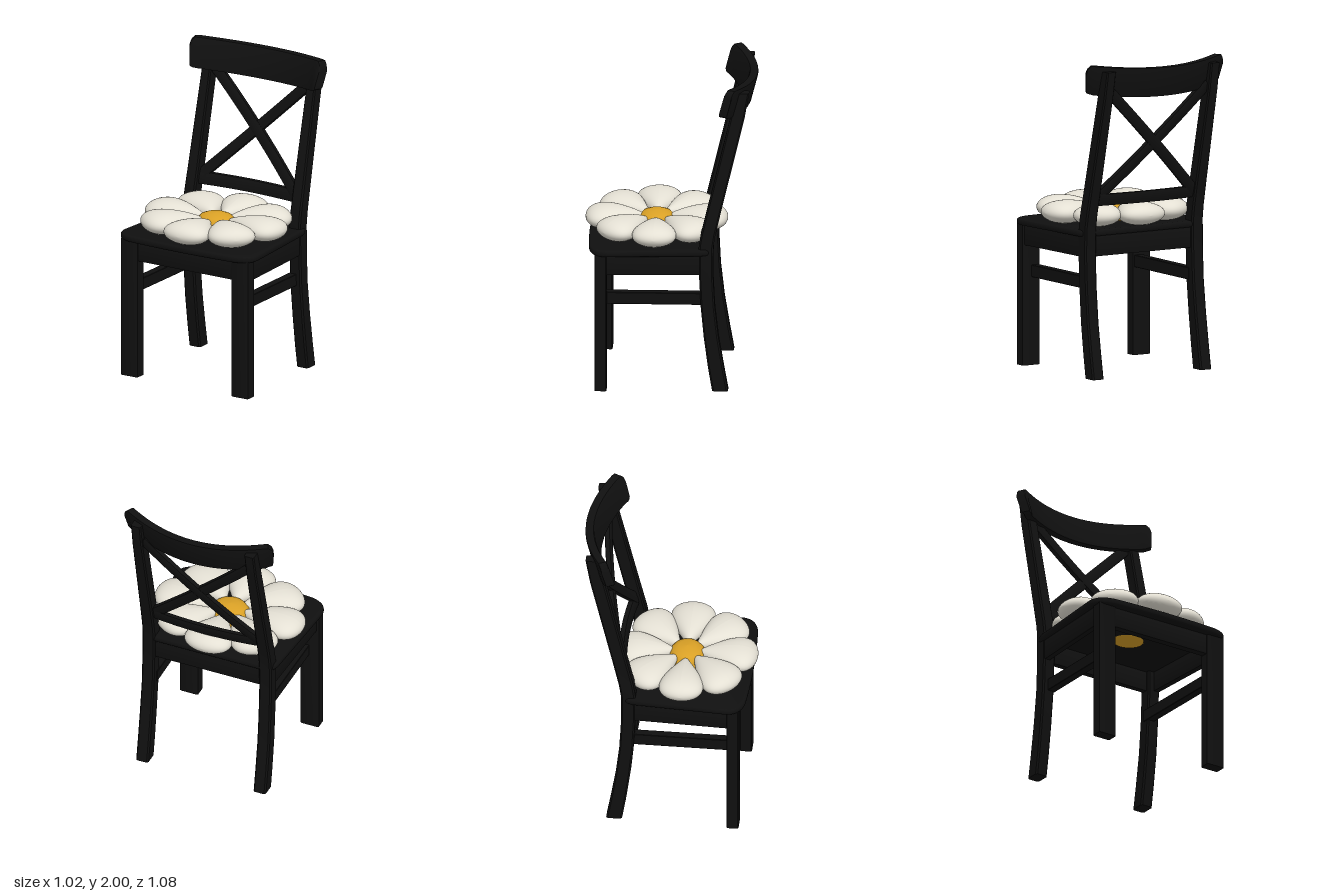
import * as THREE from 'three';
import { toCreasedNormals } from 'three/addons/utils/BufferGeometryUtils.js';

const V = (x, y, z) => new THREE.Vector3(x, y, z);

// Lofts a chamfered rectangle through sections [centre, half-axis u, half-axis v]
function loft(sections, k = 0.78) {
  const corners = [[1, -k], [1, k], [k, 1], [-k, 1], [-1, k], [-1, -k], [-k, -1], [k, -1]];
  const pos = [], idx = [], n = 8, last = sections.length - 1;
  for (const [c, u, v] of sections) {
    for (const [a, b] of corners) {
      const p = c.clone().addScaledVector(u, a).addScaledVector(v, b);
      pos.push(p.x, p.y, p.z);
    }
  }
  const along = sections[last][0].clone().sub(sections[0][0]);
  const flip = sections[0][1].clone().cross(sections[0][2]).dot(along) < 0;
  const tri = (a, b, c) => (flip ? idx.push(a, c, b) : idx.push(a, b, c));
  for (let i = 0; i < last; i++) {
    for (let j = 0; j < n; j++) {
      const a = i * n + j, b = i * n + ((j + 1) % n);
      tri(a, b, b + n);
      tri(a, b + n, a + n);
    }
  }
  for (let j = 1; j < n - 1; j++) {
    tri(0, j + 1, j);
    tri(last * n, last * n + j, last * n + j + 1);
  }
  const g = new THREE.BufferGeometry();
  g.setAttribute('position', new THREE.Float32BufferAttribute(pos, 3));
  g.setIndex(idx);
  return toCreasedNormals(g, 0.55);
}

// Straight horizontal bar between two points, w thick and h tall
function bar(a, b, w, h) {
  const side = b.clone().sub(a).cross(V(0, 1, 0)).setLength(w / 2);
  return loft([[a, V(0, h / 2, 0), side], [b, V(0, h / 2, 0), side]], 0.92);
}

export function createModel() {
  const wood = new THREE.MeshStandardMaterial({ color: 0x101010 });
  wood.name = 'blackWood';
  const white = new THREE.MeshStandardMaterial({ color: 0xe4e0d4 });
  white.name = 'petalWhite';
  const yellow = new THREE.MeshStandardMaterial({ color: 0xdaa126 });
  yellow.name = 'centreYellow';

  const chair = new THREE.Group();
  chair.name = 'chair';
  const add = (name, geo, mat = wood) => {
    const m = new THREE.Mesh(geo, mat);
    m.name = name;
    chair.add(m);
    return m;
  };

  // Seat board: tapered to the back, round front corners, bullnose edge
  const s = new THREE.Shape();
  s.moveTo(-0.40, 0.255);
  s.lineTo(0.40, 0.255);
  s.quadraticCurveTo(0.43, 0.25, 0.442, 0.2);
  s.lineTo(0.485, -0.38);
  s.quadraticCurveTo(0.488, -0.47, 0.37, -0.485);
  s.quadraticCurveTo(0, -0.51, -0.37, -0.485);
  s.quadraticCurveTo(-0.488, -0.47, -0.485, -0.38);
  s.lineTo(-0.442, 0.2);
  s.quadraticCurveTo(-0.43, 0.25, -0.40, 0.255);
  const seat = new THREE.ExtrudeGeometry(s, {
    depth: 0.012, bevelThickness: 0.015, bevelSize: 0.018, bevelSegments: 4, curveSegments: 12,
  });
  seat.rotateX(-Math.PI / 2).translate(0, 0.908, 0);
  add('seat', toCreasedNormals(seat, 0.6));

  // Aprons under the seat
  add('frontApron', bar(V(-0.44, 0.832, 0.43), V(0.44, 0.832, 0.43), 0.05, 0.135));
  add('backApron', bar(V(-0.4, 0.832, -0.235), V(0.4, 0.832, -0.235), 0.04, 0.135));

  // Back leg and post: [y, z centre, half depth, x centre, half width]
  const post = [
    [0, -0.322, 0.05, 0.402, 0.042], [0.15, -0.296, 0.049, 0.402, 0.042],
    [0.35, -0.266, 0.046, 0.402, 0.042], [0.56, -0.244, 0.044, 0.4, 0.042],
    [0.78, -0.233, 0.044, 0.4, 0.042], [0.95, -0.234, 0.046, 0.398, 0.042],
    [1.03, -0.247, 0.046, 0.397, 0.041], [1.2, -0.287, 0.045, 0.395, 0.04],
    [1.8, -0.43, 0.045, 0.39, 0.034], [1.965, -0.465, 0.039, 0.388, 0.033],
  ];
  for (const [side, m] of [['left', 1], ['right', -1]]) {
    add(side + 'FrontLeg', loft([0, 0.9].map((y) =>
      [V(m * 0.413, y, 0.428), V(0.062, 0, 0), V(0, 0, 0.038)]), 0.85));
    add(side + 'BackLeg', loft(post.map(([y, z, d, x, w]) =>
      [V(m * x, y, z), V(w, 0, 0), V(0, 0, d)])));
    add(side + 'SideApron', bar(V(m * 0.445, 0.832, 0.42), V(m * 0.415, 0.832, -0.23), 0.04, 0.135));
    add(side + 'Stretcher', bar(V(m * 0.385, 0.597, 0.42), V(m * 0.38, 0.597, -0.24), 0.055, 0.077));
  }

  // Curved top rail leaning back, with rounded upper ends
  const rail = [];
  const railSection = (x, half, drop, skew) => {
    const slope = 1.1 * x;
    rail.push([
      V(x - Math.sign(x) * skew, 1.879 + 0.13 * x * x - drop, -0.492 + 0.55 * x * x),
      V(Math.sign(x) * skew, half, -half * 0.26),
      V(-slope, 0, 1).setLength(0.029),
    ]);
  };
  railSection(-0.5, 0.06, 0.022, 0.01);
  railSection(-0.492, 0.078, 0.01, 0.01);
  railSection(-0.472, 0.092, 0, 0.008);
  for (let i = -10; i <= 10; i++) railSection(i * 0.044, 0.094, 0, 0);
  railSection(0.472, 0.092, 0, 0.008);
  railSection(0.492, 0.078, 0.01, 0.01);
  railSection(0.5, 0.06, 0.022, 0.01);
  add('topRail', loft(rail, 0.85));

  // Lower back rail, gently bowed
  const lower = [];
  for (let i = -6; i <= 6; i++) {
    const x = i * 0.063;
    lower.push([V(x, 1.124, -0.297 + 0.2 * x * x), V(0, 0.037, -0.009), V(-0.4 * x, 0, 1).setLength(0.018)]);
  }
  add('lowerBackRail', loft(lower));

  // Crossed braces, bowed backwards in the middle
  for (const [name, m] of [['braceRisingLeft', 1], ['braceRisingRight', -1]]) {
    const sec = [];
    for (let i = 0; i <= 10; i++) {
      const t = i / 10;
      const z = -0.272 - 0.165 * t - 0.1 * t * (1 - t) - m * 0.003;
      sec.push([V(m * (-0.365 + 0.73 * t), 1.13 + 0.7 * t, z), V(-m * 0.023, 0.024, -0.006), V(0, 0.004, 0.018)]);
    }
    add(name, loft(sec));
  }

  // Flower cushion: eight teardrop petals around a domed centre
  const flower = new THREE.Group();
  flower.name = 'flowerCushion';
  flower.position.set(0, 0, 0.095);
  flower.scale.set(1, 1, 0.895);
  chair.add(flower);
  const petal = new THREE.SphereGeometry(1, 36, 24).rotateZ(-Math.PI / 2);
  const p = petal.attributes.position;
  for (let i = 0; i < p.count; i++) {
    const u = p.getX(i);
    p.setXYZ(i, 0.29 + 0.21 * u, 1.006 + p.getY(i) * (0.069 + 0.023 * u), p.getZ(i) * (0.132 + 0.095 * u));
  }
  petal.computeVertexNormals();
  for (let i = 0; i < 8; i++) {
    const m = new THREE.Mesh(petal, white);
    m.name = 'petal' + (i + 1);
    m.rotation.y = (i * Math.PI) / 4;
    flower.add(m);
  }
  const dome = [[0, 0.889], [0.1, 0.889], [0.122, 0.93], [0.129, 0.975], [0.122, 1.01],
    [0.1, 1.034], [0.06, 1.049], [0, 1.054]].map(([x, y]) => new THREE.Vector2(x, y));
  const centre = new THREE.Mesh(new THREE.LatheGeometry(dome, 32), yellow);
  centre.name = 'flowerCentre';
  flower.add(centre);

  return chair;
}
